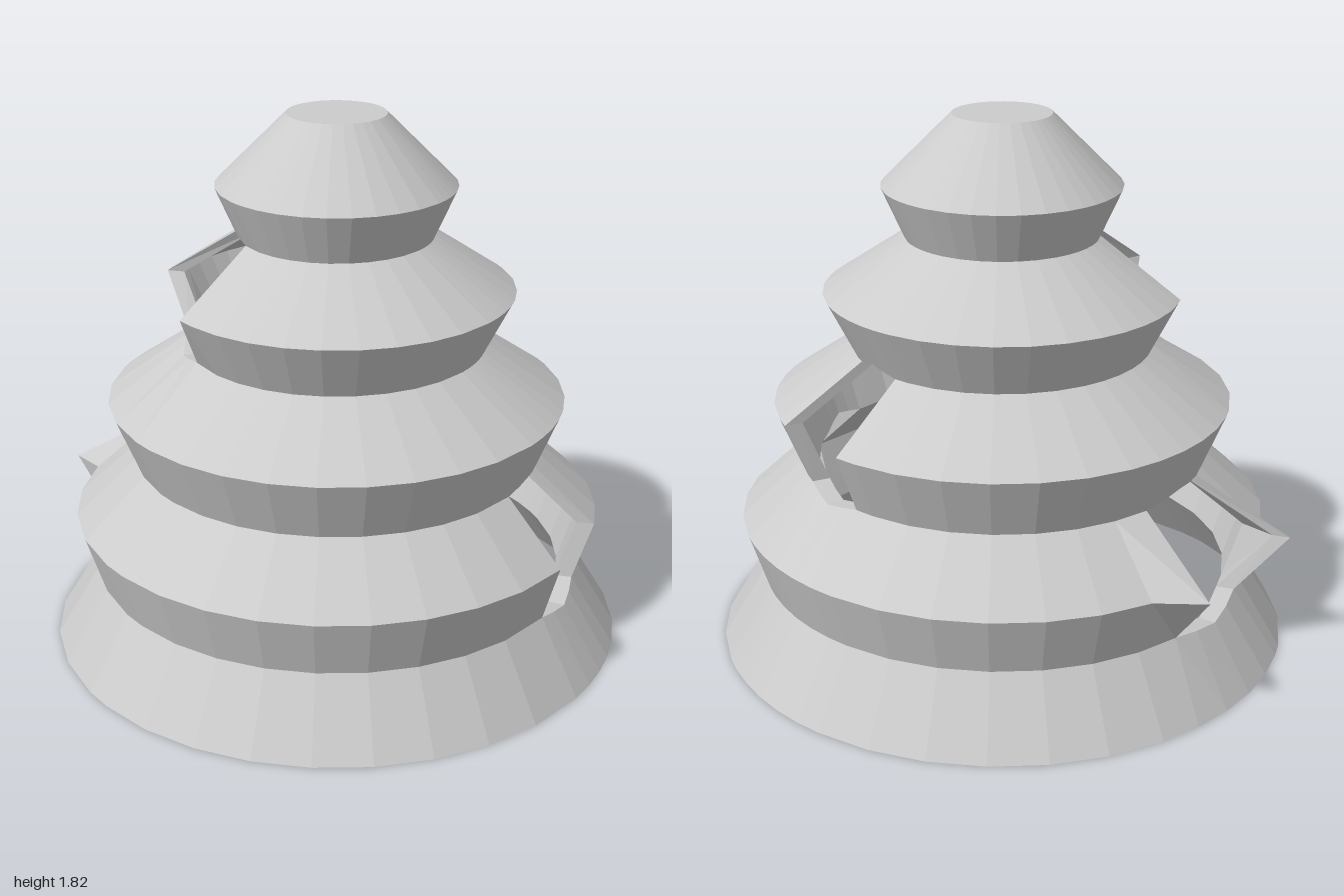
import * as THREE from 'three';

// Outer profile [radius, height]: even rows are necks, odd rows are bulges (row 0 is the base)
const OUTER = [[0.985, 0], [0.835, 0.245], [0.9, 0.45], [0.69, 0.645], [0.775, 0.855],
  [0.505, 1.04], [0.6, 1.23], [0.325, 1.415], [0.4, 1.585], [0.165, 1.82]];
const WALL = 0.06;
const INNER = OUTER.map(([r, y], i) =>
  i === 0 ? [r - 0.025, 0] : i === OUTER.length - 1 ? [r - 0.03, y - 0.05] : [r - WALL, y]);

// Windows: angles in degrees (from +x toward +z), bottom row, neck narrowing, flare at the bulge
const WINDOWS = [
  { from: -2, to: 21, row: 1, narrow: 0.92, flare: 0 },
  { from: 130, to: 180, row: 5, narrow: 0.66, flare: 0 },
  { from: 184, to: 216.5, row: 1, narrow: 0.86, flare: 0.11 },
  { from: 298, to: 322, row: 3, narrow: 0.96, flare: 0 },
];
const SPLITS = 4;

// Columns around the axis: regular facets, replaced by window columns where a window sits
function makeColumns() {
  const cols = [];
  for (let i = 0; i < 32; i++) {
    const angle = i * 11.25;
    const near = WINDOWS.some(w => [angle, angle - 360].some(a => a > w.from - 3 && a < w.to + 3));
    if (!near) cols.push({ angle });
  }
  for (const w of WINDOWS) {
    for (let k = 0; k <= SPLITS; k++) {
      const f = k / SPLITS;
      cols.push({ angle: w.from + (w.to - w.from) * f, w, f });
    }
  }
  return cols.sort((a, b) => a.angle - b.angle);
}

// Point of the shell, with the window outline pulled into shape
function shellPoint(profile, row, col) {
  let [r, y] = profile[row];
  let angle = col.angle;
  const { w, f } = col;
  if (w) {
    const mid = (w.from + w.to) / 2;
    const peak = 1 - Math.abs(2 * f - 1);
    if (row === w.row || row === w.row + 2) {
      angle = mid + (angle - mid) * w.narrow;
      y += (row === w.row ? -0.025 : 0.025) * peak;
      r += 0.012 * peak;
    }
    if (row === w.row + 1 && (f === 0 || f === 1)) r += w.flare;
  }
  const t = THREE.MathUtils.degToRad(angle);
  return [r * Math.cos(t), y, r * Math.sin(t)];
}

// Collects flat polygons into one mesh
function makeMesh(name, build) {
  const pos = [];
  build((...p) => {
    for (let i = 1; i < p.length - 1; i++) pos.push(...p[0], ...p[i], ...p[i + 1]);
  });
  const geo = new THREE.BufferGeometry();
  geo.setAttribute('position', new THREE.Float32BufferAttribute(pos, 3));
  geo.computeVertexNormals();
  const mesh = new THREE.Mesh(geo, new THREE.MeshStandardMaterial({
    color: 0xcccccc, flatShading: true, side: THREE.DoubleSide }));
  mesh.name = name;
  return mesh;
}

export function createModel() {
  const group = new THREE.Group();
  group.name = 'tieredShell';
  const cols = makeColumns();
  const n = cols.length;
  const last = OUTER.length - 1;
  const out = (row, i) => shellPoint(OUTER, row, cols[i % n]);
  const inn = (row, i) => shellPoint(INNER, row, cols[i % n]);

  const isOpen = (row, i) => {
    const a = cols[i], b = cols[(i + 1) % n];
    return a.w && a.w === b.w && (row === a.w.row || row === a.w.row + 1);
  };
  const eachCell = fn => {
    for (let row = 0; row < last; row++)
      for (let i = 0; i < n; i++) if (!isOpen(row, i)) fn(row, i);
  };

  // Outer tiers with the flat top
  group.add(makeMesh('outerTiers', face => {
    eachCell((r, i) => face(out(r, i), out(r + 1, i), out(r + 1, i + 1), out(r, i + 1)));
    face(...cols.map((_, i) => out(last, i)).reverse());
  }));

  // Hollow inside with its ceiling
  group.add(makeMesh('innerTiers', face => {
    eachCell((r, i) => face(inn(r, i), inn(r, i + 1), inn(r + 1, i + 1), inn(r + 1, i)));
    face(...cols.map((_, i) => inn(last, i)));
  }));

  // Narrow rim around the open bottom
  group.add(makeMesh('baseRim', face => {
    for (let i = 0; i < n; i++) face(out(0, i), out(0, i + 1), inn(0, i + 1), inn(0, i));
  }));

  // Wall thickness around each window
  WINDOWS.forEach((w, k) => {
    const start = cols.findIndex(c => c.w === w), end = start + SPLITS;
    group.add(makeMesh('windowFrame' + (k + 1), face => {
      const top = w.row + 2;
      for (let i = start; i < end; i++) {
        face(out(w.row, i), inn(w.row, i), inn(w.row, i + 1), out(w.row, i + 1));
        face(out(top, i), out(top, i + 1), inn(top, i + 1), inn(top, i));
      }
      for (let r = w.row; r < top; r++) {
        face(out(r, start), out(r + 1, start), inn(r + 1, start), inn(r, start));
        face(out(r, end), inn(r, end), inn(r + 1, end), out(r + 1, end));
      }
    }));
  });

  group.children.forEach(m => { m.position.x = 0.0125; });
  return group;
}
